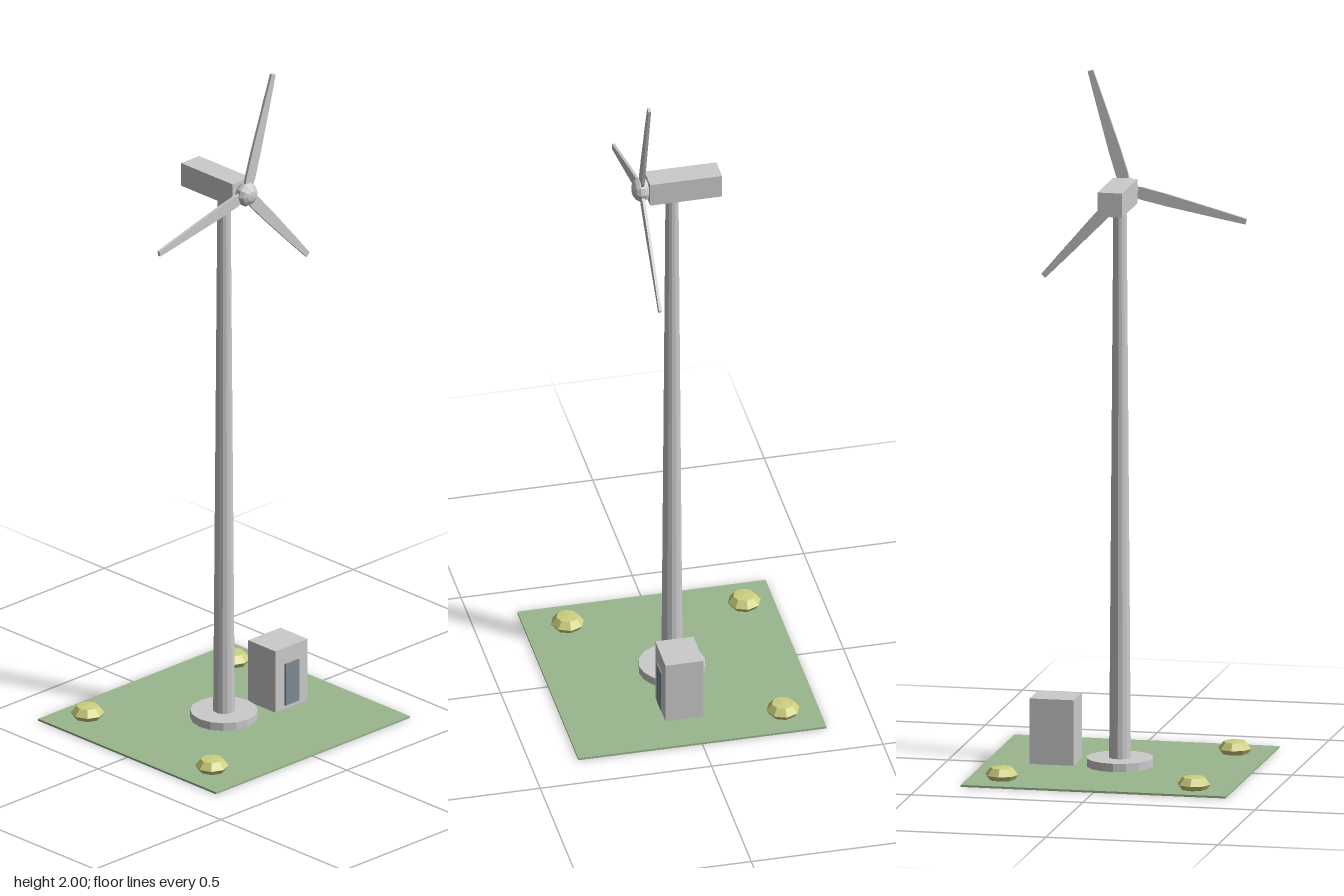
import * as THREE from 'three';

const material = (color, side = THREE.FrontSide) =>
  new THREE.MeshStandardMaterial({ color, flatShading: true, side });

export function createModel() {
  const model = new THREE.Group();
  const grey = material(0xcccccc);
  const grass = material(0x9bb68f);
  const leaf = material(0xcdd07f);
  const doorGrey = material(0x808a94);

  const add = (name, geometry, mat, x, y, z, parent = model) => {
    const mesh = new THREE.Mesh(geometry, mat);
    mesh.name = name;
    mesh.position.set(x, y, z);
    parent.add(mesh);
    return mesh;
  };

  // Ground plate
  add('ground', new THREE.BoxGeometry(0.77, 0.006, 0.724), grass, 0, 0.003, 0);

  // Foundation and tapered tower
  add('foundation', new THREE.CylinderGeometry(0.096, 0.096, 0.024, 16), grey, 0, 0.018, 0)
    .rotation.y = Math.PI / 2;
  add('tower', new THREE.CylinderGeometry(0.019, 0.031, 1.6, 14), grey, 0, 0.83, 0);

  // Nacelle
  add('nacelle', new THREE.BoxGeometry(0.072, 0.07, 0.21), grey, 0, 1.66, -0.033);

  // Rotor: faceted hub with three tapered blades
  const rotor = new THREE.Group();
  rotor.name = 'rotor';
  rotor.position.set(0, 1.66, 0.091);
  model.add(rotor);
  const hubGeometry = new THREE.SphereGeometry(0.036, 10, 7);
  hubGeometry.rotateX(Math.PI / 2);
  hubGeometry.scale(1, 1, 0.75);
  add('hub', hubGeometry, grey, 0, 0, 0, rotor);

  // Half chord at each station from root to tip
  const stations = [[0.01, 0.014], [0.045, 0.018], [0.12, 0.0175], [0.2, 0.0145], [0.28, 0.0115], [0.356, 0.008]];
  const outline = [
    ...stations.map(([r, c]) => new THREE.Vector2(c, r)),
    ...stations.map(([r, c]) => new THREE.Vector2(-c, r)).reverse(),
  ];
  const bladeGeometry = new THREE.ExtrudeGeometry(new THREE.Shape(outline), { depth: 0.008, bevelEnabled: false });
  bladeGeometry.translate(0, 0, -0.004);
  for (let i = 0; i < 3; i++) {
    add(`blade${i + 1}`, bladeGeometry, grey, 0, 0, 0, rotor)
      .rotation.z = THREE.MathUtils.degToRad(-17.2 - i * 120);
  }

  // Control cabinet with a door on the front
  const cabinet = new THREE.Group();
  cabinet.name = 'cabinet';
  model.add(cabinet);
  add('cabinetBody', new THREE.BoxGeometry(0.128, 0.19, 0.111), grey, 0.192, 0.101, 0.0225, cabinet);
  add('cabinetDoor', new THREE.BoxGeometry(0.055, 0.128, 0.006), doorGrey, 0.192, 0.082, 0.08, cabinet);

  // Low eight-sided bushes
  const bushProfile = [[0, 0.004], [0.037, 0.004], [0.048, 0.02], [0.032, 0.04], [0, 0.043]]
    .map(([r, y]) => new THREE.Vector2(r, y));
  const bushGeometry = new THREE.LatheGeometry(bushProfile, 8);
  [[-0.274, -0.274], [0.288, -0.257], [-0.282, 0.24]].forEach(([x, z], i) =>
    add(`bush${i + 1}`, bushGeometry, leaf, x, 0, z));

  return model;
}
